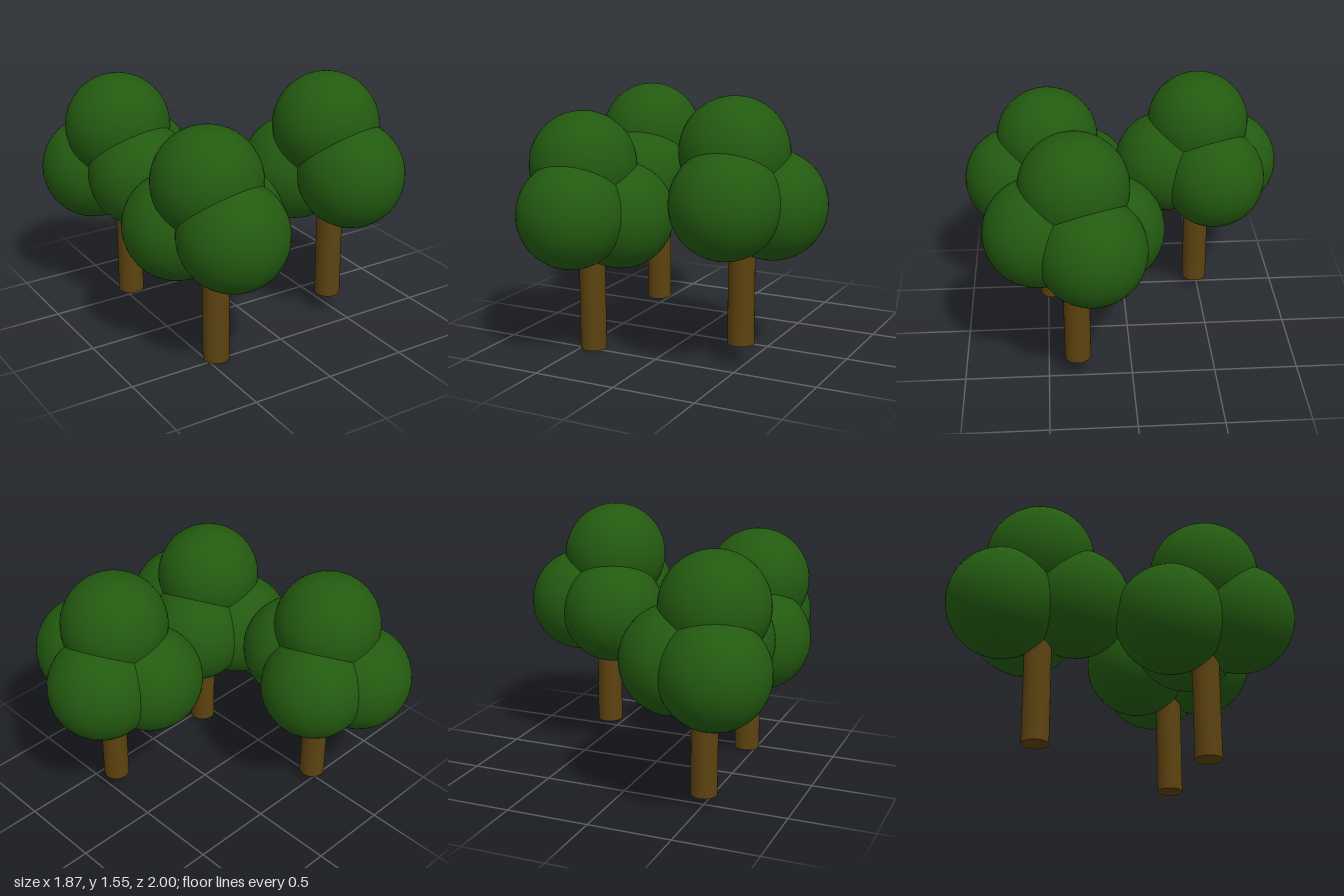
import * as THREE from 'three';

const RADIUS = 0.316;
const TRUNK_HEIGHT = 0.8;

// Foliage balls, relative to the foot of the trunk
const BALLS = [
  ['foliageTop', -0.049, 1.115, 0],
  ['foliageFront', -0.01, 0.86, 0.207],
  ['foliageBackRight', -0.127, 0.797, -0.205],
  ['foliageLeft', 0.147, 0.815, -0.09],
];

// Foot of each trunk
const TREES = [
  ['frontTree', -0.436, 0, 0.472],
  ['backTree', -0.493, 0.057, -0.48],
  ['leftTree', 0.467, 0.12, 0.325],
];

export function createModel() {
  const model = new THREE.Group();
  model.name = 'treeCluster';

  const leafMaterial = new THREE.MeshStandardMaterial({ color: 0x235a10 });
  const barkMaterial = new THREE.MeshStandardMaterial({ color: 0x5c420f });
  const ballGeometry = new THREE.SphereGeometry(RADIUS, 48, 32);
  const trunkGeometry = new THREE.CylinderGeometry(0.078, 0.078, TRUNK_HEIGHT, 32);

  for (const [treeName, tx, ty, tz] of TREES) {
    const tree = new THREE.Group();
    tree.name = treeName;
    tree.position.set(tx, ty, tz);

    // Trunk, reaching up into the foliage
    const trunk = new THREE.Mesh(trunkGeometry, barkMaterial);
    trunk.name = 'trunk';
    trunk.position.y = TRUNK_HEIGHT / 2;
    tree.add(trunk);

    // Crown of overlapping balls
    for (const [name, x, y, z] of BALLS) {
      const ball = new THREE.Mesh(ballGeometry, leafMaterial);
      ball.name = name;
      ball.position.set(x, y, z);
      tree.add(ball);
    }
    model.add(tree);
  }
  return model;
}
